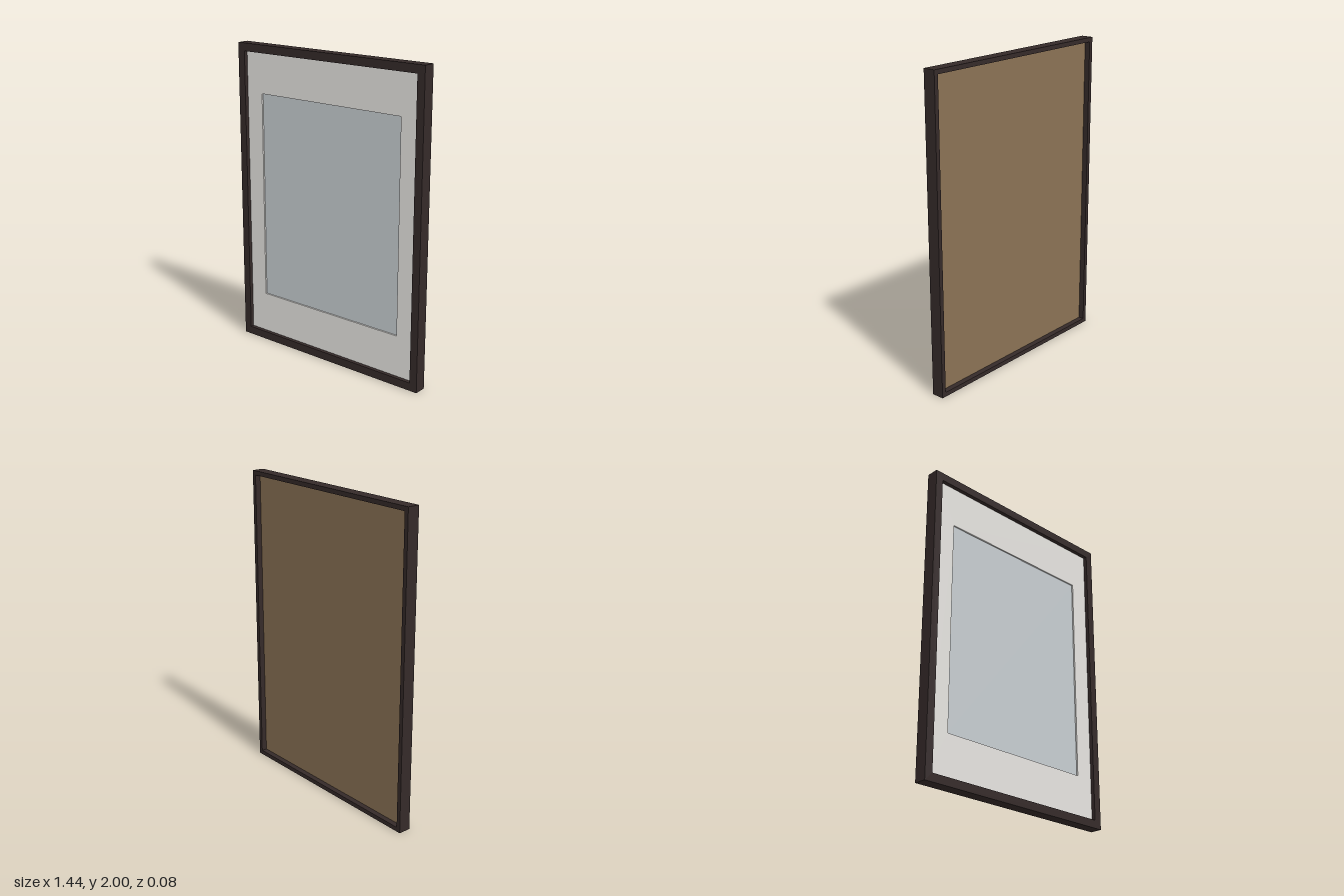
import * as THREE from 'three';

const W = 0.72, H = 1, D = 0.04; // half width, half height, half depth

const material = (name, color) => {
  const m = new THREE.MeshStandardMaterial({ color });
  m.name = name;
  return m;
};

// One mitred rail: the profile [inset, z] swept between two corners [sx, sy]
function railGeometry(profile, a, b) {
  const pos = [], index = [], n = profile.length;
  const at = (c, [inset, z]) => [c[0] * (W - inset), H + c[1] * (H - inset), z];
  for (let i = 0; i < n; i++) {
    const p = profile[i], q = profile[(i + 1) % n], k = pos.length / 3;
    pos.push(...at(a, p), ...at(b, p), ...at(b, q), ...at(a, q));
    index.push(k, k + 1, k + 2, k, k + 2, k + 3);
  }
  const g = new THREE.BufferGeometry();
  g.setAttribute('position', new THREE.Float32BufferAttribute(pos, 3));
  g.setIndex(index);
  g.computeVertexNormals();
  return g;
}

function rectPath(path, x, y0, y1) {
  path.moveTo(-x, y0);
  path.lineTo(x, y0);
  path.lineTo(x, y1);
  path.lineTo(-x, y1);
  path.closePath();
  return path;
}

export function createModel() {
  const group = new THREE.Group();
  group.name = 'pictureFrame';
  const wood = material('darkWood', 0x352a29);
  const matBoard = material('matBoard', 0xf0eeea);
  const paper = material('greyPaper', 0xc8ced2);
  const board = material('brownBacking', 0x8b7355);

  const add = (name, geometry, mat, z = 0) => {
    const mesh = new THREE.Mesh(geometry, mat);
    mesh.name = name;
    mesh.position.z = z;
    group.add(mesh);
  };

  // Frame rails: wide front lip, rebated behind for the panels
  const profile = [[0, -D], [0, D], [0.052, D], [0.052, 0.012], [0.028, 0.012], [0.028, -D]];
  const corners = [[-1, -1], [1, -1], [1, 1], [-1, 1]];
  ['bottomRail', 'leftRail', 'topRail', 'rightRail'].forEach((name, i) =>
    add(name, railGeometry(profile, corners[i], corners[(i + 1) % 4]), wood));

  // Mat with its window
  const matShape = rectPath(new THREE.Shape(), W - 0.03, 0.03, 2 * H - 0.03);
  matShape.holes.push(rectPath(new THREE.Path(), 0.545, 0.32, 1.685));
  add('mat', new THREE.ExtrudeGeometry(matShape, { depth: 0.012, bevelEnabled: false }), matBoard, 0.003);

  // Blank picture behind the window
  const picture = new THREE.BoxGeometry(1.13, 1.405, 0.004);
  picture.translate(0, 1.0025, 0);
  add('picture', picture, paper, 0.003);

  // Backing board, recessed in the rear
  const backing = new THREE.BoxGeometry(2 * (W - 0.028), 2 * (H - 0.028), 0.006);
  backing.translate(0, H, 0);
  add('backing', backing, board, -0.001);

  return group;
}
